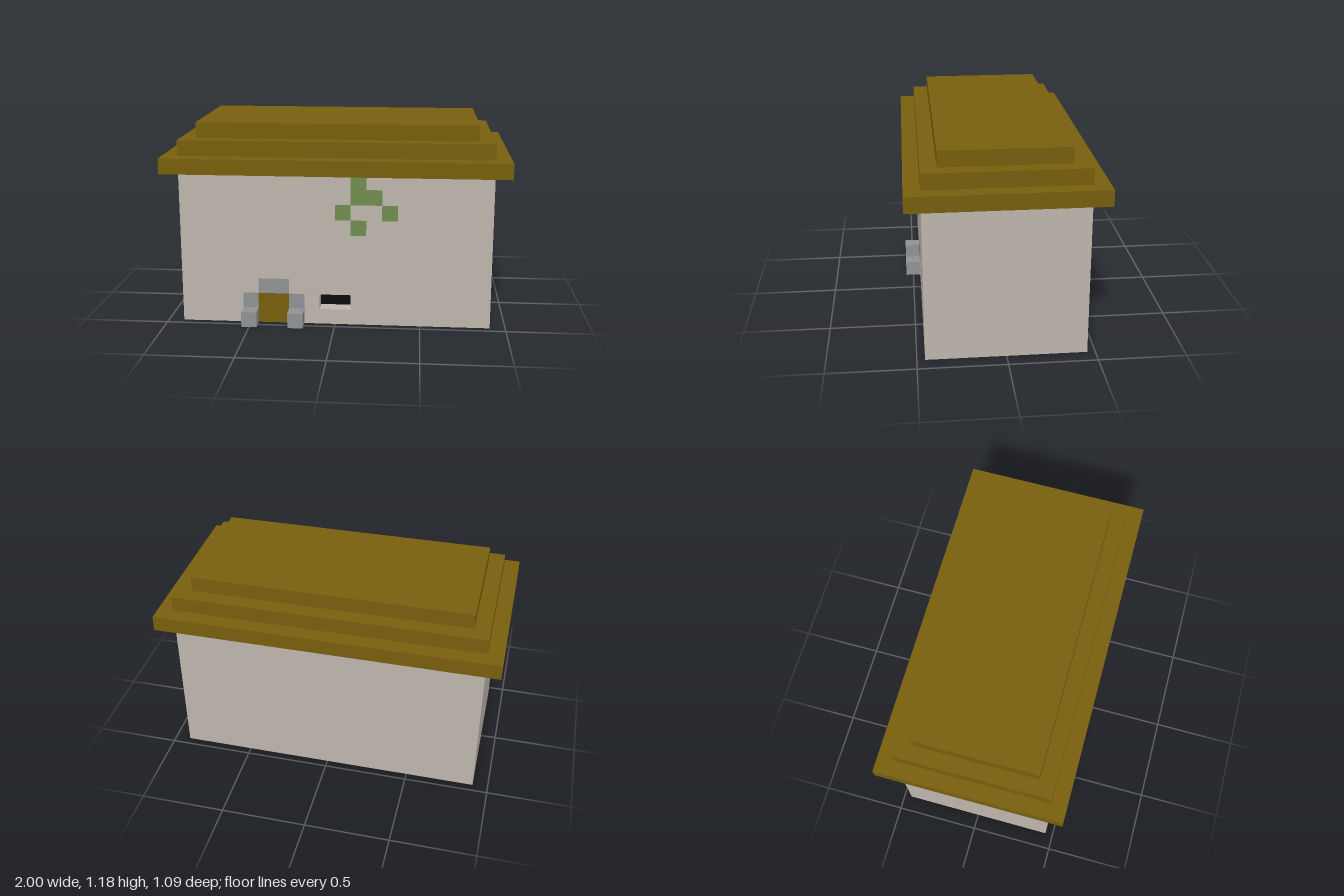
import * as THREE from 'three';

const U = 1 / 11; // one block

const mat = (color) => new THREE.MeshStandardMaterial({ color, flatShading: true });

export function createModel() {
  const house = new THREE.Group();
  house.name = 'house';
  const plaster = mat(0xbdb5ad), wood = mat(0x775e0d), stone = mat(0x8f9193);
  const leaf = mat(0x6f8b4e), black = mat(0x0c0c0c);

  // Box from its low and high corners, in blocks
  const block = (name, material, [x0, y0, z0], [x1, y1, z1]) => {
    const geo = new THREE.BoxGeometry((x1 - x0) * U, (y1 - y0) * U, (z1 - z0) * U);
    const mesh = new THREE.Mesh(geo, material);
    mesh.position.set((x0 + x1) / 2 * U, (y0 + y1) / 2 * U, (z0 + z1) / 2 * U);
    mesh.name = name;
    house.add(mesh);
  };
  const points = (list) => list.map(([x, y]) => new THREE.Vector2(x * U, y * U));

  // Solid core behind the front wall
  block('houseBody', plaster, [-10, 0, -5], [10, 10, 4]);

  // Front wall, one block thick, notched for the doorway and pierced by the window
  const wall = new THREE.Shape(points([
    [-10, 0], [-6, 0], [-6, 2], [-5, 2], [-5, 3], [-3, 3], [-3, 2], [-2, 2], [-2, 0],
    [10, 0], [10, 10], [-10, 10],
  ]));
  wall.holes.push(new THREE.Path(points([[-1, 1], [-1, 2], [1, 2], [1, 1]])));
  const frontWall = new THREE.Mesh(
    new THREE.ExtrudeGeometry(wall, { depth: U, bevelEnabled: false }), plaster);
  frontWall.position.z = 4 * U;
  frontWall.name = 'frontWall';
  house.add(frontWall);

  // Dark back of the window recess
  block('windowPane', black, [-1, 1, 4], [1, 2, 4.02]);

  // Door with its stone surround and a post on each side
  block('door', wood, [-5, 0, 4], [-3, 2, 5]);
  block('doorLintel', stone, [-5, 2, 4], [-3, 3, 5]);
  for (const x of [-6, -3]) {
    block('doorJamb', stone, [x, 0, 4], [x + 1, 2, 5]);
    block('doorPost', stone, [x, 0, 5], [x + 1, 1, 6]);
  }

  // Vine patches lying on the wall: x, y, height
  for (const [x, y, h] of [[1, 8, 2], [2, 8, 1], [0, 7, 1], [3, 7, 1], [1, 6, 1]]) {
    block('vine', leaf, [x, y, 4.9], [x + 1, y + h, 5.02]);
  }

  // Stepped roof, each tier one block smaller all round
  for (let i = 0; i < 3; i++) {
    block('roofTier', wood, [i - 11, 10 + i, i - 6], [11 - i, 11 + i, 6 - i]);
  }
  return house;
}
